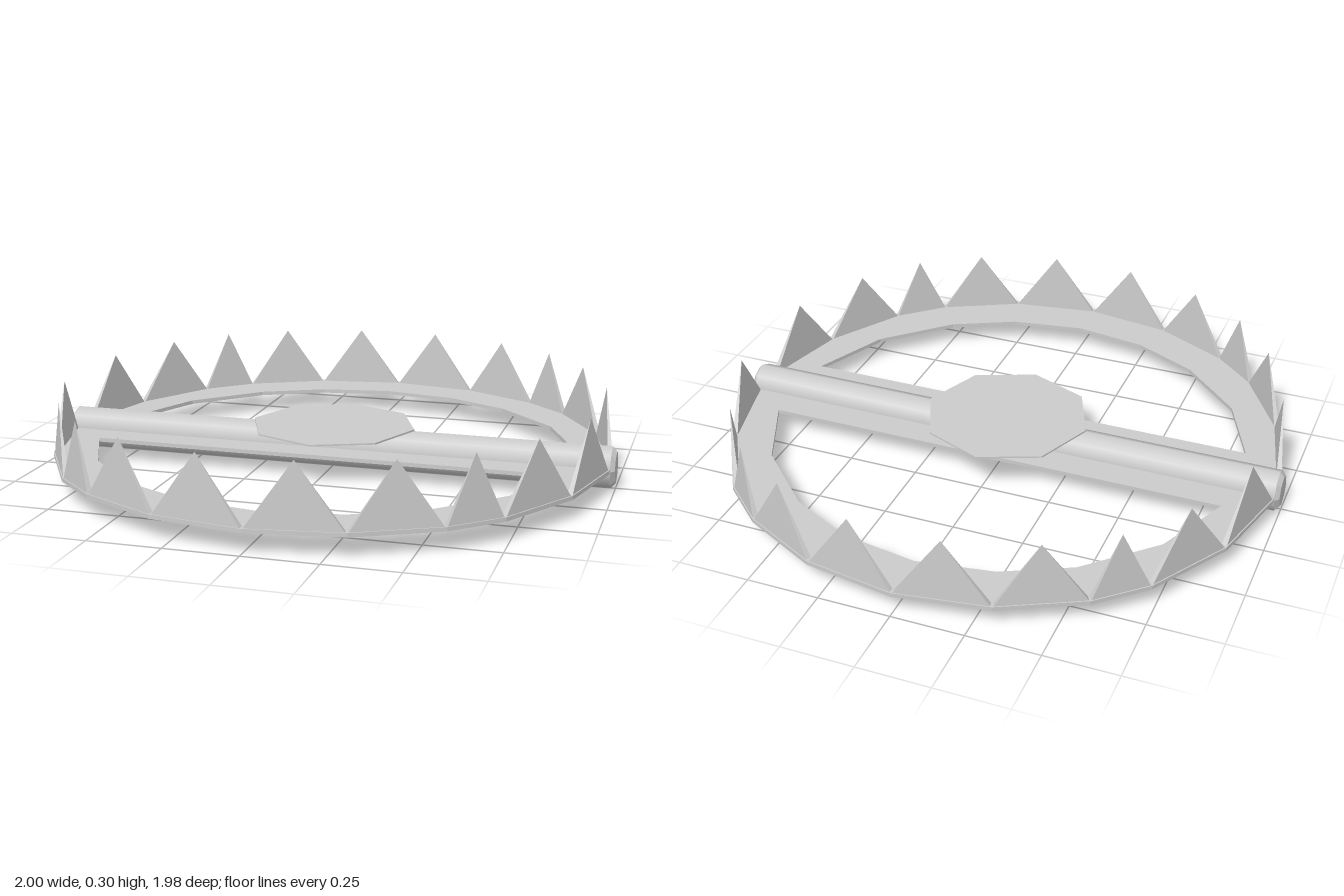
import * as THREE from 'three';

const material = new THREE.MeshStandardMaterial({ color: 0xcccccc, flatShading: true });
const smooth = new THREE.MeshStandardMaterial({ color: 0xcccccc });
const PLATE_Y = 0.07, PLATE_T = 0.014, TOOTH_H = 0.216;

// Corners of one jaw on the +x side, from the hinge to the middle, as [x, z]
const OUTER = [[0.985, 0.065], [0.905, 0.385], [0.74, 0.66], [0.587, 0.8], [0.315, 0.938], [0, 0.988]];
const INNER = [[0.83, 0.17], [0.71, 0.443], [0.49, 0.658], [0.263, 0.77], [0, 0.813]];

// Completes a half outline with its mirror image
const mirrored = (pts) => [...pts, ...pts.slice(0, -1).reverse().map(([x, z]) => [-x, z])];
const toVectors = (pts) => pts.map(([x, z]) => new THREE.Vector2(x, z));

function mesh(name, geometry, mat = material) {
  const m = new THREE.Mesh(geometry, mat);
  m.name = name;
  return m;
}

function createJaw(name) {
  const jaw = new THREE.Group();
  jaw.name = name;
  const outer = mirrored(OUTER);

  // Flat D-shaped frame
  const shape = new THREE.Shape(toVectors([[0.985, 0], ...outer, [-0.985, 0]]));
  shape.holes.push(new THREE.Path(toVectors(mirrored(INNER))));
  const frame = new THREE.ExtrudeGeometry(shape, { depth: PLATE_T, bevelEnabled: false });
  frame.rotateX(Math.PI / 2).translate(0, PLATE_Y + PLATE_T, 0);
  jaw.add(mesh('jawFrame', frame));

  // One thin pointed tooth on each outer edge
  const pyramid = new THREE.ConeGeometry(Math.SQRT1_2, 1, 4, 1, false, Math.PI / 4);
  for (let i = 0; i < outer.length - 1; i++) {
    const [ax, az] = outer[i], [bx, bz] = outer[i + 1];
    const dx = bx - ax, dz = bz - az, length = Math.hypot(dx, dz);
    const tooth = mesh('tooth', pyramid);
    tooth.scale.set(length * 0.96, TOOTH_H, 0.018);
    tooth.rotation.y = Math.atan2(-dz, dx);
    // Set slightly in from the rim
    tooth.position.set(
      (ax + bx) / 2 - (dz / length) * 0.013,
      PLATE_Y + PLATE_T + TOOTH_H / 2,
      (az + bz) / 2 + (dx / length) * 0.013
    );
    jaw.add(tooth);
  }
  return jaw;
}

export function createModel() {
  const trap = new THREE.Group();
  trap.name = 'jawTrap';

  const front = createJaw('frontJaw');
  const back = createJaw('backJaw');
  back.rotation.y = Math.PI;
  trap.add(front, back);

  // Eight-sided hinge bar with chamfered ends
  const R = 0.074, r = 0.056, L = 0.985;
  const bar = new THREE.CylinderGeometry(R, R, 2 * L, 8, 1, true);
  bar.rotateZ(Math.PI / 2).scale(1, 1, 0.92).translate(0, 0.076, 0);
  trap.add(mesh('hingeBar', bar, smooth));
  for (const side of [1, -1]) {
    const end = new THREE.CylinderGeometry(r, R, 1 - L, 8);
    end.rotateZ(-side * Math.PI / 2).scale(1, 1, 0.92);
    end.translate(side * (1 + L) / 2, 0.076, 0);
    trap.add(mesh('hingeBarEnd', end));
  }

  // Octagonal trigger plate resting on the bar
  const trigger = mesh('triggerPlate', new THREE.CylinderGeometry(0.295, 0.295, 0.006, 8));
  trigger.position.y = 0.153;
  trap.add(trigger);

  return trap;
}
